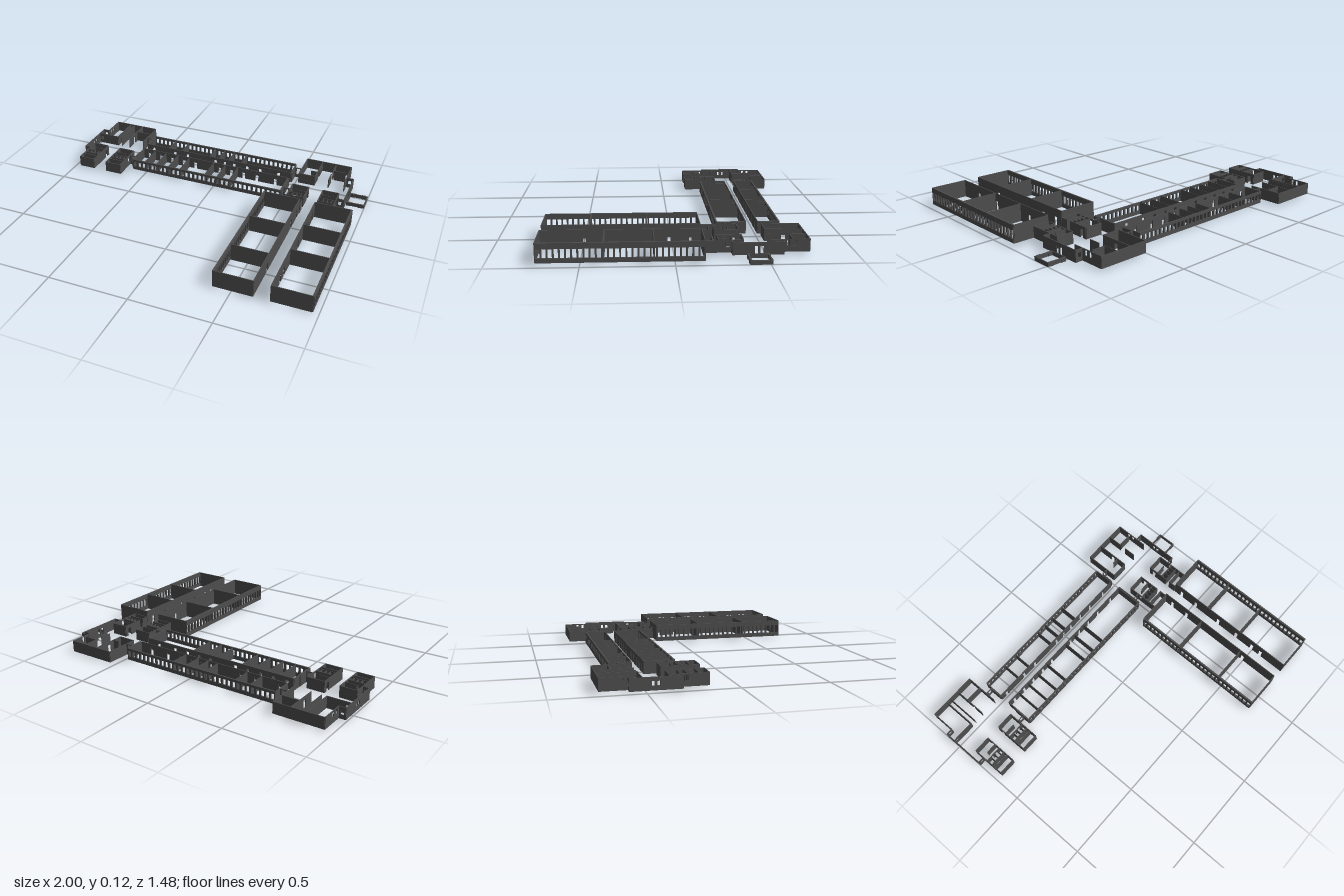
import * as THREE from 'three';

const material = new THREE.MeshStandardMaterial({ color: 0x4d4d4d, side: THREE.DoubleSide });
const LOW = 0.086, TALL = 0.124, BASE = 0.015;

// Upright wall from (x1,z1) to (x2,z2). Openings are measured along the wall:
// doors [centre, width, top] cut the foot, windows [centre, width, bottom, top] are holes.
function wall(group, name, x1, z1, x2, z2, { top = LOW, base = BASE, t = 0.005, doors = [], windows = [] } = {}) {
  const dx = x2 - x1, dz = z2 - z1, len = Math.hypot(dx, dz);
  const s = new THREE.Shape();
  s.moveTo(0, base);
  for (const [c, w, h] of [...doors].sort((a, b) => a[0] - b[0])) {
    s.lineTo(c - w / 2, base);
    s.lineTo(c - w / 2, h);
    s.lineTo(c + w / 2, h);
    s.lineTo(c + w / 2, base);
  }
  s.lineTo(len, base);
  s.lineTo(len, top);
  s.lineTo(0, top);
  s.closePath();
  for (const [c, w, b, h] of windows) {
    const p = new THREE.Path();
    p.moveTo(c - w / 2, b);
    p.lineTo(c - w / 2, h);
    p.lineTo(c + w / 2, h);
    p.lineTo(c + w / 2, b);
    p.closePath();
    s.holes.push(p);
  }
  const geo = new THREE.ExtrudeGeometry(s, { depth: t, bevelEnabled: false });
  geo.translate(0, 0, -t / 2);
  const mesh = new THREE.Mesh(geo, material);
  mesh.name = name;
  mesh.position.set(x1, 0, z1);
  mesh.rotation.y = -Math.atan2(dz, dx);
  group.add(mesh);
}

const alongX = (g, name, z, x1, x2, o) => wall(g, name, x1, z, x2, z, o);
const alongZ = (g, name, x, z1, z2, o) => wall(g, name, x, z1, x, z2, o);

// Evenly spaced row of windows over a wall of the given length
function windowRow(len, count, width, bottom, top) {
  return Array.from({ length: count }, (_, i) => [(i + 0.5) * len / count, width, bottom, top]);
}

function section(parent, name) {
  const g = new THREE.Group();
  g.name = name;
  parent.add(g);
  return g;
}

// Long low wing: two rows of rooms either side of a corridor
function longWing(parent) {
  const g = section(parent, 'longWing');
  const x1 = -0.595, x2 = 0.47, len = x2 - x1, base = 0.011;
  const rows = [
    { outer: -0.635, inner: -0.51, parts: [-0.43, -0.33, -0.12, -0.05, 0.02, 0.115] },
    { outer: -0.267, inner: -0.44, parts: [-0.505, -0.42, -0.33, -0.243, -0.06, 0.025, 0.115] },
  ];
  for (const { outer, inner, parts } of rows) {
    alongX(g, 'windowWall', outer, x1, x2, { base, t: 0.009, windows: windowRow(len, 33, 0.02, 0.034, 0.07) });
    const doors = [x1, ...parts].map(x => [x - x1 + 0.045, 0.02, 0.066]);
    doors.push([0.85, 0.02, 0.066], [0.98, 0.02, 0.066]);
    alongX(g, 'corridorWall', inner, x1, x2, { base, doors });
    const a = Math.min(outer, inner), b = Math.max(outer, inner);
    for (const x of parts) alongZ(g, 'partition', x, a, b, { base, t: 0.003 });
    for (const x of [x1, x2]) alongZ(g, 'endWall', x, a, b, { base });
  }
}

// Tall wing: two strips of large halls with an open corridor between
function tallWing(parent) {
  const g = section(parent, 'tallWing');
  const z1 = -0.157, z2 = 0.732, len = z2 - z1, top = TALL;
  const strips = [
    { outer: 0.396, inner: 0.63, parts: [0.142, 0.463], doors: [0.02, 0.49, -0.1] },
    { outer: 0.963, inner: 0.73, parts: [0.11, 0.377], doors: [-0.1, 0.02, 0.21, 0.36, 0.49, 0.56] },
  ];
  for (const { outer, inner, parts, doors } of strips) {
    alongZ(g, 'windowWall', outer, z1, z2, { top, t: 0.011, windows: windowRow(len, 28, 0.022, 0.04, 0.092) });
    alongZ(g, 'corridorWall', inner, z1, z2, { top, doors: doors.map(z => [z - z1, 0.022, 0.075]) });
    const a = Math.min(outer, inner), b = Math.max(outer, inner);
    for (const z of [z1, ...parts, z2]) alongX(g, 'crossWall', z, a, b, { top });
  }
}

// Service room on the south side, with stalls; sx is the side facing the passage
function serviceRoom(parent, xa, xb, passage, split) {
  const g = section(parent, 'serviceRoom');
  const n = -0.377, s = -0.163, outer = passage === xa ? xb : xa;
  const end = split ? -0.238 : s;
  alongX(g, 'northWall', n, xa, xb);
  alongX(g, 'southWall', s, xa, xb);
  alongZ(g, 'outerWall', outer, n, s, { windows: [[0.09, 0.025, 0.045, 0.075]] });
  alongZ(g, 'passageWall', passage, n, end, { doors: [[0.035, 0.025, 0.066]] });
  if (split) {
    alongZ(g, 'passageWall', passage, -0.21, s);
    alongX(g, 'roomDivider', -0.21, xa, xb);
  }
  const inset = (xb - xa) * 0.35;
  alongX(g, 'screen', -0.316, passage === xa ? xa : xa + inset, passage === xa ? xb - inset : xb, { t: 0.003 });
  alongX(g, 'stallFront', -0.28, xa, xb, { t: 0.003, doors: [[0.04, 0.015, 0.066], [0.075, 0.015, 0.066]] });
  alongX(g, 'stallBack', -0.24, xa, xb, { t: 0.003 });
  if (!split) alongX(g, 'roomDivider', -0.215, xa, xb);
  for (const f of [0.3, 0.55, 0.8]) alongZ(g, 'stallSide', xa + (xb - xa) * f, -0.28, -0.24, { t: 0.003 });
}

// West end block
function westBlock(parent) {
  const g = section(parent, 'westBlock');
  const pane = [[0.02, 0.02, 0.04, 0.066]];
  alongZ(g, 'endWall', -0.998, -0.59, -0.312, {
    windows: [[0.12, 0.014, 0.04, 0.064], [0.15, 0.014, 0.04, 0.064]],
  });
  alongX(g, 'northStep', -0.59, -0.998, -0.957, { windows: pane });
  alongX(g, 'southStep', -0.312, -0.998, -0.957, { windows: pane });
  alongX(g, 'roomWall', -0.525, -0.998, -0.85, { windows: pane });
  alongX(g, 'northWall', -0.74, -0.957, -0.645);
  alongZ(g, 'outerWall', -0.957, -0.74, -0.59, { windows: [[0.085, 0.016, 0.05, 0.08], [0.12, 0.016, 0.05, 0.08]] });
  alongZ(g, 'passageWall', -0.85, -0.74, -0.525);
  alongZ(g, 'thinWall', -0.82, -0.74, -0.525, { t: 0.003 });
  alongZ(g, 'passageWall', -0.755, -0.74, -0.525, { doors: [[0.14, 0.025, 0.066]] });
  alongZ(g, 'outerWall', -0.645, -0.74, -0.525);
  alongX(g, 'roomDivider', -0.65, -0.755, -0.645);
  for (const z of [-0.59, -0.312])
    alongX(g, 'linkWall', z, -0.645, -0.597, { windows: [[0.025, 0.022, 0.036, 0.08]] });
  alongZ(g, 'linkEnd', -0.6, -0.59, -0.515);
  alongZ(g, 'linkEnd', -0.6, -0.38, -0.267);
  serviceRoom(g, -0.957, -0.85, -0.85, false);
  serviceRoom(g, -0.755, -0.645, -0.755, false);
}

// East block, joining the two wings
function eastBlock(parent) {
  const g = section(parent, 'eastBlock');
  alongX(g, 'northWall', -0.74, 0.523, 0.833);
  alongZ(g, 'outerWall', 0.523, -0.74, -0.525);
  alongZ(g, 'passageWall', 0.633, -0.74, -0.525, { doors: [[0.11, 0.025, 0.066]] });
  alongX(g, 'roomWall', -0.525, 0.523, 0.633);
  alongX(g, 'roomWall', -0.59, 0.59, 0.633, { t: 0.003 });
  alongZ(g, 'passageWall', 0.727, -0.74, -0.64, { t: 0.003 });
  alongZ(g, 'passageWall', 0.727, -0.6, -0.525);
  alongX(g, 'roomDivider', -0.647, 0.735, 0.815);
  alongZ(g, 'outerWall', 0.833, -0.74, -0.525, { windows: [[0.085, 0.016, 0.05, 0.08], [0.12, 0.016, 0.05, 0.08]] });
  for (const z of [-0.59, -0.312]) {
    alongX(g, 'linkWall', z, 0.478, 0.523, { windows: [[0.022, 0.022, 0.036, 0.08]] });
    alongX(g, 'eastStep', z, 0.833, 0.88, { windows: [[0.023, 0.02, 0.04, 0.066]] });
  }
  alongZ(g, 'linkEnd', 0.478, -0.59, -0.51);
  alongZ(g, 'linkEnd', 0.478, -0.44, -0.267);
  alongZ(g, 'entranceWall', 0.88, -0.59, -0.312, { doors: [[0.12, 0.018, 0.064], [0.15, 0.018, 0.064]] });
  serviceRoom(g, 0.523, 0.633, 0.633, true);
  serviceRoom(g, 0.727, 0.833, 0.727, true);
}

// Low entrance terrace curb with small corner blocks
function terrace(parent) {
  const g = section(parent, 'entranceTerrace');
  const o = { base: 0, top: 0.024, t: 0.006 };
  for (const z of [-0.507, -0.395]) {
    alongX(g, 'curb', z, 0.882, 0.997, o);
    for (const x of [0.9, 0.975]) alongX(g, 'curbBlock', z, x - 0.015, x + 0.015, { ...o, t: 0.012 });
  }
  alongZ(g, 'curb', 0.997, -0.51, -0.392, o);
  alongZ(g, 'curb', 0.885, -0.51, -0.392, o);
}

export function createModel() {
  const model = new THREE.Group();
  model.name = 'buildingWalls';
  longWing(model);
  tallWing(model);
  westBlock(model);
  eastBlock(model);
  terrace(model);
  return model;
}
